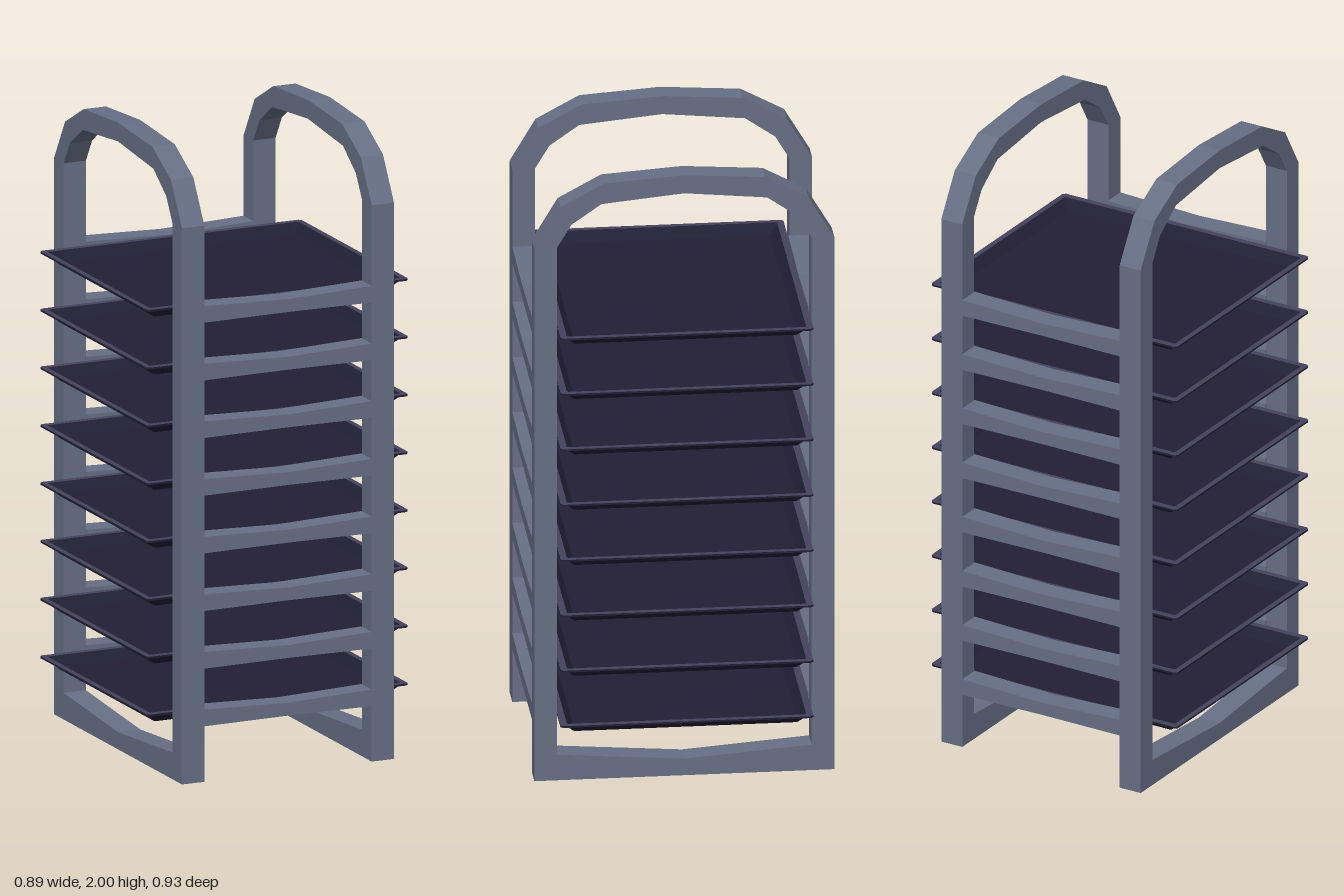
import * as THREE from 'three';

const frameGrey = new THREE.MeshStandardMaterial({ color: 0x666f85 });
frameGrey.name = 'slate grey';
const trayDark = new THREE.MeshStandardMaterial({ color: 0x211f33 });
trayDark.name = 'dark navy';
const rimPurple = new THREE.MeshStandardMaterial({ color: 0x45425e });
rimPurple.name = 'dusk purple';

// Mirror the +side half of an outline, given from bottom to top centre.
function mirrored(half) {
  const other = half.filter(([a]) => a > 0).reverse().map(([a, b]) => [-a, b]);
  return [...half, ...other].map(([a, b]) => new THREE.Vector2(a, b));
}

function makeMesh(name, geometry, material) {
  const mesh = new THREE.Mesh(geometry, material);
  mesh.name = name;
  return mesh;
}

// Side hoop: arched loop with a hole, extruded along x.
function hoopGeometry() {
  const shape = new THREE.Shape(mirrored([[0.465, 0], [0.465, 1.775], [0.385, 1.91], [0.25, 1.983], [0, 2]]));
  shape.holes.push(new THREE.Path(mirrored([
    [0, 0.055], [0.395, 0.085], [0.395, 1.775], [0.35, 1.85], [0.257, 1.915], [0, 1.94],
  ])));
  const geo = new THREE.ExtrudeGeometry(shape, { depth: 0.076, bevelEnabled: false });
  return geo.rotateY(Math.PI / 2).translate(-0.038, 0, 0);
}

// Rung: bar with a slightly sagging top.
function rungGeometry() {
  const shape = new THREE.Shape(mirrored([[0, 0.002], [0.287, 0], [0.287, 0.053], [0, 0.043]]));
  return new THREE.ExtrudeGeometry(shape, { depth: 0.074, bevelEnabled: false }).translate(0, 0, -0.037);
}

// Flat-shaded strip between rectangular rings [half x, y, half z, corner cut].
function ringStrip(rings, capStart, capEnd) {
  const loops = rings.map(([x, y, z, c]) => [
    [x, z - c], [x - c, z], [c - x, z], [-x, z - c], [-x, c - z], [c - x, -z], [x - c, -z], [x, c - z],
  ].map(([a, b]) => [a, y, b]));
  const pos = [];
  for (let r = 0; r + 1 < loops.length; r++) {
    for (let i = 0; i < 8; i++) {
      const j = (i + 1) % 8;
      const [a, b, c, d] = [loops[r][i], loops[r][j], loops[r + 1][j], loops[r + 1][i]];
      pos.push(...a, ...b, ...c, ...a, ...c, ...d);
    }
  }
  const first = loops[0], last = loops[loops.length - 1];
  for (let i = 1; i < 7; i++) {
    if (capStart) pos.push(...first[0], ...first[i + 1], ...first[i]);
    if (capEnd) pos.push(...last[0], ...last[i], ...last[i + 1]);
  }
  const geo = new THREE.BufferGeometry();
  geo.setAttribute('position', new THREE.Float32BufferAttribute(pos, 3));
  // Rings run outward and up, then inward and down, so reverse the winding.
  for (let i = 0; i < pos.length; i += 9) {
    for (let k = 0; k < 3; k++) [pos[i + 3 + k], pos[i + 6 + k]] = [pos[i + 6 + k], pos[i + 3 + k]];
  }
  geo.setAttribute('position', new THREE.Float32BufferAttribute(pos, 3));
  geo.computeVertexNormals();
  return geo;
}

export function createModel() {
  const model = new THREE.Group();
  model.name = 'trayRack';

  const hoop = hoopGeometry();
  for (const side of [1, -1]) {
    const mesh = makeMesh(side > 0 ? 'leftHoop' : 'rightHoop', hoop, frameGrey);
    mesh.position.x = side * 0.323;
    model.add(mesh);
  }

  // Tray: underside, thin lip, then the sloped inside down to the floor.
  const pan = ringStrip([[0.4, 0, 0.348, 0.004], [0.425, 0.026, 0.373, 0.004], [0.445, 0.03, 0.392, 0.008],
    [0.445, 0.036, 0.392, 0.008]], true, false);
  const rim = ringStrip([[0.445, 0.036, 0.392, 0.008], [0.427, 0.036, 0.371, 0.004]], false, false);
  const inside = ringStrip([[0.427, 0.036, 0.371, 0.004], [0.4, 0.006, 0.346, 0.004]], false, true);

  const rung = rungGeometry();
  const ledge = new THREE.CylinderGeometry(0.012, 0.012, 0.57, 8).rotateZ(Math.PI / 2);

  for (let i = 0; i < 8; i++) {
    const tray = new THREE.Group();
    tray.name = 'tray' + (i + 1);
    tray.position.y = 0.178 + i * 0.1845;
    tray.add(makeMesh('trayUnderside', pan, trayDark), makeMesh('trayRim', rim, rimPurple),
      makeMesh('trayInside', inside, trayDark));
    model.add(tray);

    // Front and back rungs, each with a small ledge under the tray lip.
    for (const side of [1, -1]) {
      const bar = new THREE.Group();
      bar.name = (side > 0 ? 'frontRung' : 'backRung') + (i + 1);
      const support = makeMesh('ledge', ledge, frameGrey);
      support.position.set(0, 0.018, -side * 0.042);
      bar.add(makeMesh('bar', rung, frameGrey), support);
      bar.position.set(0, 0.177 + i * 0.184, side * 0.428);
      model.add(bar);
    }
  }
  return model;
}
